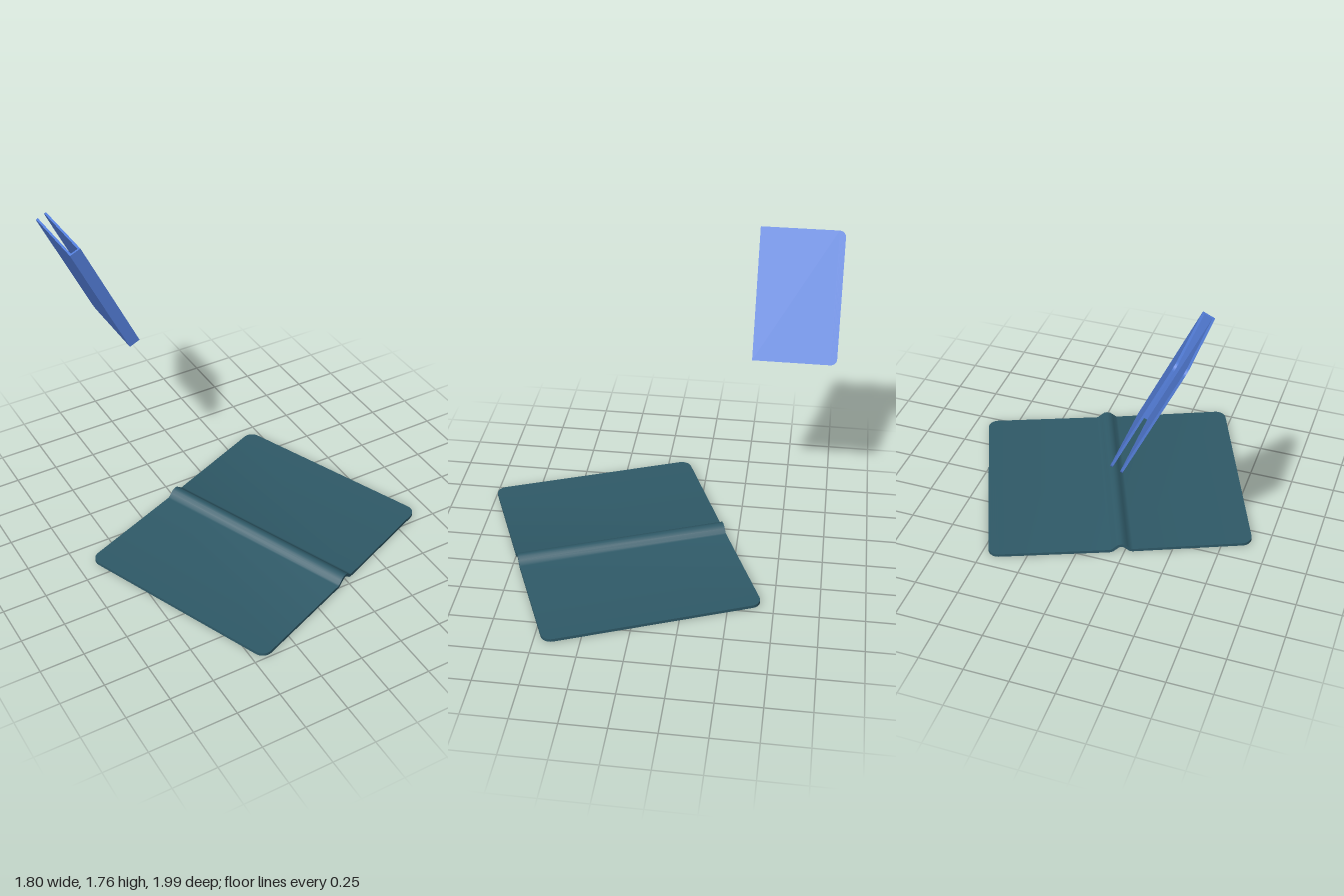
import * as THREE from 'three';
import { toCreasedNormals } from 'three/addons/utils/BufferGeometryUtils.js';

// A board bent along a 2D path (xy), with rounded corners at both free ends.
// length runs along z, thickness along the path's left-hand normal.
function bentBoard(path, length, thickness, radius) {
  const steps = 7;
  const pts = path.map(([x, y]) => new THREE.Vector2(x, y));
  const rounded = (end, next) => {
    const dir = next.clone().sub(end).normalize();
    return Array.from({ length: steps + 1 }, (_, i) => {
      const a = (i / steps) * Math.PI / 2;
      return {
        p: end.clone().addScaledVector(dir, radius * (1 - Math.cos(a))),
        half: length / 2 - radius * (1 - Math.sin(a)),
      };
    });
  };
  const stations = [
    ...rounded(pts[0], pts[1]),
    ...pts.slice(1, -1).map((p) => ({ p, half: length / 2 })),
    ...rounded(pts.at(-1), pts.at(-2)).reverse(),
  ];
  const n = stations.length - 1;

  // Mitred normal at every station
  stations.forEach((s, i) => {
    const before = stations[Math.max(i - 1, 0)].p;
    const after = stations[Math.min(i + 1, n)].p;
    const t1 = (i > 0 ? s.p.clone().sub(before) : after.clone().sub(s.p)).normalize();
    const t2 = (i < n ? after.clone().sub(s.p) : t1.clone()).normalize();
    const t = t1.clone().add(t2).normalize();
    s.normal = new THREE.Vector2(-t.y, t.x).divideScalar(t.dot(t1));
  });

  // Wrap a segmented box onto the stations
  const geo = new THREE.BoxGeometry(n, thickness, 2, n, 1, 1);
  const pos = geo.attributes.position;
  for (let i = 0; i < pos.count; i++) {
    const s = stations[Math.round(pos.getX(i) + n / 2)];
    const y = pos.getY(i);
    pos.setXYZ(i, s.p.x + s.normal.x * y, s.p.y + s.normal.y * y, Math.sign(pos.getZ(i)) * s.half);
  }
  return toCreasedNormals(geo, 0.5);
}

function part(name, geometry, color) {
  const mesh = new THREE.Mesh(geometry, new THREE.MeshStandardMaterial({ color }));
  mesh.name = name;
  return mesh;
}

export function createModel() {
  const model = new THREE.Group();
  model.name = 'bookCovers';

  // Open cover lying flat, with an arched spine
  const arch = [[0.065, 0.009], [0.05, 0.013], [0.03, 0.031], [0.015, 0.043]];
  const openPath = [
    [-0.74, 0.018],
    ...arch.map(([x, y]) => [-x, y]),
    [0, 0.046],
    ...arch.slice().reverse(),
    [0.74, 0.012],
  ];
  const openCover = part('openCover', bentBoard(openPath, 1.228, 0.017, 0.058), 0x2f5a68);
  openCover.rotation.y = Math.PI / 8;
  openCover.position.z = 0.16;
  model.add(openCover);

  // Closed, empty cover floating at a tilt, spine towards the front
  const t = 0.012, x = 0.0335 - t / 2, back = -0.235, front = 0.235 - t / 2;
  const closedPath = [[-x, back], [-x, front], [x, front], [x, back]];
  const closedCover = part('closedCover', bentBoard(closedPath, 0.743, t, 0.036), 0x5580dd);
  closedCover.rotation.set(Math.PI / 2, 0, THREE.MathUtils.degToRad(24.7), 'ZYX');
  closedCover.position.set(-0.545, 1.413, -0.765);
  model.add(closedCover);

  return model;
}
